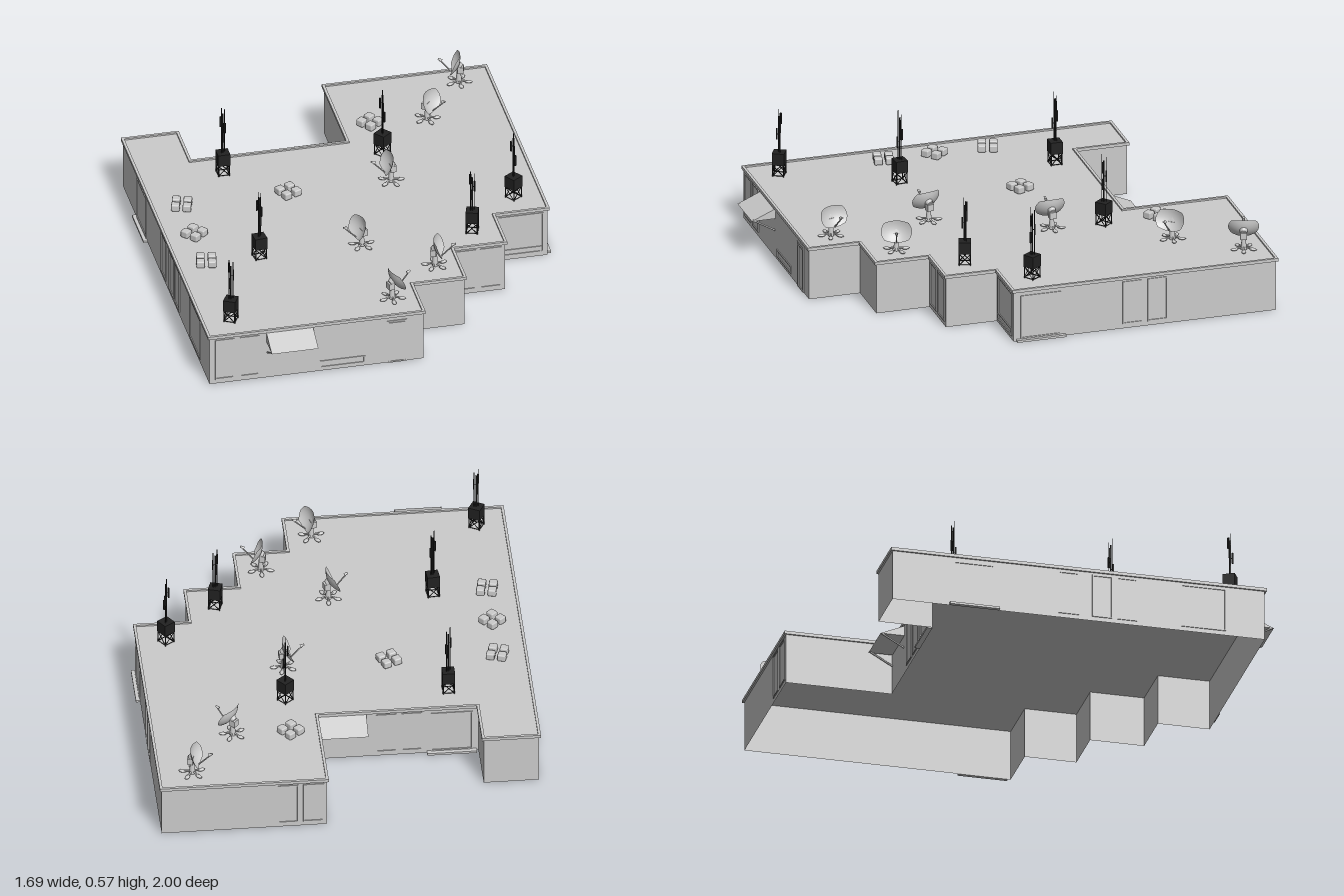
import * as THREE from 'three';
import { RoundedBoxGeometry } from 'three/addons/geometries/RoundedBoxGeometry.js';

const grey = new THREE.MeshStandardMaterial({ color: 0xcccccc, side: THREE.DoubleSide });
const dark = new THREE.MeshStandardMaterial({ color: 0x222222 });
const ROOF = 0.235;
const INSET = 0.008;

// Building outline as x, z corners
const outline = [
  [-0.835, -0.77], [-0.58, -0.77], [-0.58, -0.53], [0.105, -0.53], [0.105, -1], [0.835, -1], [0.835, 0.2],
  [0.595, 0.2], [0.595, 0.43], [0.36, 0.43], [0.36, 0.67], [0.125, 0.67], [0.125, 0.9], [-0.835, 0.9],
];

function add(parent, name, geometry, material, x = 0, y = 0, z = 0, ry = 0) {
  const mesh = new THREE.Mesh(geometry, material);
  mesh.name = name;
  mesh.position.set(x, y, z);
  mesh.rotation.y = ry;
  parent.add(mesh);
  return mesh;
}

function group(parent, name, x, y, z, ry = 0) {
  const g = new THREE.Group();
  g.name = name;
  g.position.set(x, y, z);
  g.rotation.y = ry;
  parent.add(g);
  return g;
}

// Straight round bar between two points
function bar(parent, name, a, b, r, material, sides = 6) {
  const path = new THREE.LineCurve3(new THREE.Vector3(...a), new THREE.Vector3(...b));
  return add(parent, name, new THREE.TubeGeometry(path, 1, r, sides), material);
}

// Outline moved inwards; every corner is a right angle
function insetOutline(d) {
  const n = outline.length;
  const normal = (i) => {
    const a = outline[i % n], b = outline[(i + 1) % n];
    return [Math.sign(b[1] - a[1]), -Math.sign(b[0] - a[0])];
  };
  return outline.map(([x, z], i) => {
    const p = normal(i + n - 1), q = normal(i);
    return [x - d * (p[0] + q[0]), z - d * (p[1] + q[1])];
  });
}

const toPoints = (pts) => pts.map(([x, z]) => new THREE.Vector2(x, -z));

function slab(shape, depth) {
  return new THREE.ExtrudeGeometry(shape, { depth, bevelEnabled: false }).rotateX(-Math.PI / 2);
}

// Flat rectangular frame on a wall; its local +z points outwards
function frame(parent, name, x, z, ry, w, y0, y1) {
  const h = y1 - y0, t = 0.006;
  const rect = (Type, a, b) => new Type([[-a, -b], [a, -b], [a, b], [-a, b]].map((p) => new THREE.Vector2(...p)));
  const shape = rect(THREE.Shape, w / 2, h / 2);
  shape.holes.push(rect(THREE.Path, w / 2 - t, h / 2 - t));
  const geo = new THREE.ExtrudeGeometry(shape, { depth: 0.004, bevelEnabled: false });
  add(parent, name, geo, grey, x, (y0 + y1) / 2, z, ry);
}

// Sloping wedge canopy on two struts
function awning(parent, x, z, ry) {
  const g = group(parent, 'awning', x, 0, z, ry);
  const side = new THREE.Shape([[0, 0.18], [0.106, 0.18], [0, 0.226]].map((p) => new THREE.Vector2(...p)));
  const geo = new THREE.ExtrudeGeometry(side, { depth: 0.206, bevelEnabled: false });
  add(g, 'canopy', geo.translate(0, 0, -0.103).rotateY(-Math.PI / 2), grey);
  for (const s of [-1, 1]) bar(g, 'strut', [s * 0.098, 0.125, 0], [s * 0.098, 0.182, 0.1], 0.004, grey);
}

// Radio mast on a braced stand
function tower(parent, x, z, ry, top) {
  const g = group(parent, 'antennaTower', x, ROOF, z, ry);
  const r = 0.024;
  for (let i = 0; i < 4; i++) {
    const face = group(g, 'standSide', 0, 0, 0, i * Math.PI / 2);
    bar(face, 'leg', [r, 0, r], [r, 0.055, r], 0.003, dark, 4);
    bar(face, 'brace', [-r, 0.003, r], [r, 0.052, r], 0.002, dark, 4);
    bar(face, 'brace', [r, 0.003, r], [-r, 0.052, r], 0.002, dark, 4);
    bar(face, 'rail', [-r, 0.004, r], [r, 0.004, r], 0.002, dark, 4);
  }
  add(g, 'cabinet', new THREE.BoxGeometry(0.054, 0.055, 0.054), dark, 0, 0.08, 0);
  bar(g, 'mast', [0, 0.1, 0], [0, top - 0.03, 0], 0.004, dark);
  bar(g, 'whip', [-0.007, 0.1, 0.005], [-0.007, top, 0.005], 0.0018, dark, 4);
  bar(g, 'whip', [0.008, 0.1, -0.006], [0.008, top - 0.015, -0.006], 0.0018, dark, 4);
  for (let i = 0; i < 3; i++) {
    const a = i * Math.PI * 2 / 3, y = 0.19 + 0.035 * i;
    add(g, 'antennaPanel', new THREE.BoxGeometry(0.008, 0.05, 0.006), dark, Math.sin(a) * 0.011, y, Math.cos(a) * 0.011, a);
    bar(g, 'bracket', [0, y, 0], [Math.sin(a) * 0.011, y, Math.cos(a) * 0.011], 0.002, dark, 4);
  }
}

// Curved reflector with clipped corners
function reflector() {
  const geo = new THREE.PlaneGeometry(2, 2, 10, 8);
  const p = geo.attributes.position;
  for (let i = 0; i < p.count; i++) {
    const u = p.getX(i), v = p.getY(i);
    const x = u * 0.067 * (1 - 0.22 * v * v), y = v * 0.048 * (1 - 0.22 * u * u);
    p.setXYZ(i, x, y, 6 * (x * x + y * y));
  }
  geo.computeVertexNormals();
  return geo;
}

// Satellite dish facing (dx, dz)
function dish(parent, x, z, dx, dz) {
  const g = group(parent, 'satelliteDish', x, ROOF, z, Math.atan2(dx, dz));
  for (let i = 0; i < 5; i++) {
    const a = i * Math.PI * 2 / 5 + Math.PI;
    const foot = new THREE.SphereGeometry(1, 8, 6).scale(0.01, 0.006, 0.018);
    add(g, 'foot', foot, grey, Math.sin(a) * 0.042, 0.008, Math.cos(a) * 0.042, a);
    bar(g, 'footArm', [0, 0.016, 0], [Math.sin(a) * 0.04, 0.01, Math.cos(a) * 0.04], 0.004, grey);
  }
  add(g, 'post', new THREE.CylinderGeometry(0.008, 0.014, 0.06, 10), grey, 0, 0.034, 0);
  add(g, 'pivot', new THREE.BoxGeometry(0.03, 0.03, 0.026), grey, 0, 0.07, -0.008);
  const head = group(g, 'dishHead', 0, 0.09, 0);
  head.rotation.x = -0.4;
  add(head, 'reflector', reflector(), grey);
  add(head, 'rearHub', new THREE.CylinderGeometry(0.018, 0.012, 0.014, 10).rotateX(Math.PI / 2), grey, 0, 0, -0.006);
  bar(head, 'feedArm', [0, -0.045, 0.012], [0, -0.012, 0.085], 0.003, grey);
  add(head, 'feedHorn', new THREE.CylinderGeometry(0.004, 0.007, 0.018, 8).rotateX(Math.PI / 2), grey, 0, -0.01, 0.084);
}

// Two by two block of roof units
function roofUnits(parent, x, z, ry) {
  const g = group(parent, 'roofUnits', x, ROOF, z, ry);
  for (const sx of [-1, 1]) for (const sz of [-1, 1]) {
    add(g, 'roofUnit', new RoundedBoxGeometry(0.037, 0.032, 0.037, 1, 0.006), grey, sx * 0.025, 0.018, sz * 0.025);
  }
}

export function createModel() {
  const model = new THREE.Group();
  model.name = 'building';

  // Outer walls, open underneath
  const pts = insetOutline(INSET);
  const walls = group(model, 'walls', 0, 0, 0);
  pts.forEach(([x, z], i) => {
    const [x2, z2] = pts[(i + 1) % pts.length];
    const geo = new THREE.PlaneGeometry(Math.hypot(x2 - x, z2 - z), 0.228);
    add(walls, 'wall', geo, grey, (x + x2) / 2, 0.114, (z + z2) / 2, Math.atan2(z2 - z, x - x2));
  });

  // Roof slab and its low rim
  add(model, 'roof', slab(new THREE.Shape(toPoints(outline)), 0.007), grey, 0, 0.228, 0);
  const rim = new THREE.Shape(toPoints(outline));
  rim.holes.push(new THREE.Path(toPoints(insetOutline(0.012))));
  add(model, 'roofRim', slab(rim, 0.007), grey, 0, ROOF, 0);

  // Windows: x, z, facing angle, width
  const H = Math.PI / 2, E = 0.835 - INSET;
  const windows = [
    [-0.76, 0.892, 0, 0.085], [-0.65, 0.892, 0, 0.085],
    [0.41, 0.422, 0, 0.095], [0.523, 0.422, 0, 0.095], [0.71, 0.192, 0, 0.2],
    [E, -0.345, H, 0.09], [E, -0.457, H, 0.09],
    [-E, 0.02, -H, 0.09], [-E, 0.17, -H, 0.09], [-E, 0.28, -H, 0.09], [-E, 0.62, -H, 0.2],
    [0.17, -0.992, 2 * H, 0.09], [0.28, -0.992, 2 * H, 0.09],
    [-0.3, -0.522, 2 * H, 0.09], [-0.19, -0.522, 2 * H, 0.09],
  ];
  for (const [x, z, ry, w] of windows) frame(model, 'windowFrame', x, z, ry, w, 0.02, 0.218);

  // Front door and low vents
  frame(model, 'doorFrame', 0, 0.892, 0, 0.088, 0, 0.21);
  frame(model, 'door', 0, 0.892, 0, 0.07, 0, 0.2);
  frame(model, 'vent', -0.24, 0.892, 0, 0.2, 0.015, 0.05);
  frame(model, 'vent', 0.7, 0.192, 0, 0.2, 0.015, 0.05);

  // Door steps
  add(model, 'step', new THREE.BoxGeometry(0.018, 0.01, 0.22), grey, -0.837, 0.005, -0.4);
  add(model, 'step', new THREE.BoxGeometry(0.018, 0.01, 0.22), grey, 0.837, 0.005, 0.07);
  add(model, 'step', new THREE.BoxGeometry(0.215, 0.01, 0.023), grey, -0.473, 0.005, -0.533);
  frame(model, 'doorFrame', -E, -0.4, -H, 0.18, 0.01, 0.21);
  frame(model, 'doorFrame', E, 0.07, H, 0.18, 0.01, 0.21);
  frame(model, 'doorFrame', -0.473, -0.522, 2 * H, 0.18, 0.01, 0.21);

  awning(model, -0.473, 0.892, 0);
  awning(model, 0.0, -0.522, Math.PI);

  // Roof equipment
  [[-0.47, -0.4, 0, 0.335], [0.235, -0.4, 0.7, 0.33], [0.705, 0.07, 0.6, 0.33], [0.47, 0.3, -0.3, 0.305],
    [-0.47, 0.3, 0.1, 0.335], [-0.705, 0.77, -0.5, 0.305]].forEach((t) => tower(model, ...t));
  [[0.685, -0.89, -1, -0.3], [0.485, -0.63, 1, 0.9], [0.22, -0.17, -1, 0.05], [-0.02, 0.31, -1, 0.25],
    [0.25, 0.54, 1, 0.3], [0.01, 0.76, 1, -0.3]].forEach((d) => dish(model, ...d));
  [[0.235, -0.64, 0.65], [-0.705, -0.17, -0.3], [-0.235, -0.17, 0.4], [-0.705, 0.07, 0.72],
    [-0.705, 0.3, -0.2]].forEach((u) => roofUnits(model, ...u));

  return model;
}
